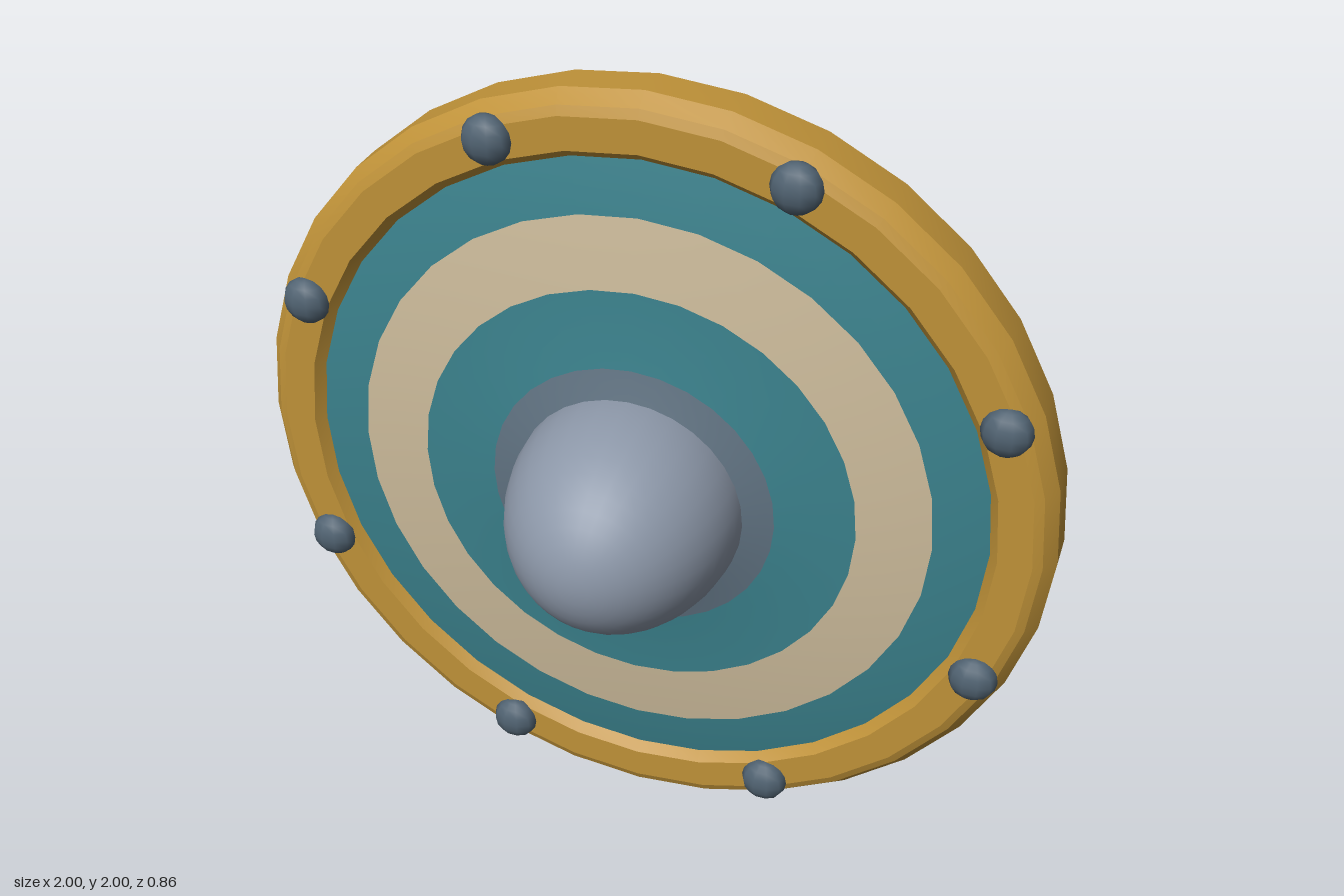
import * as THREE from 'three';
import { toCreasedNormals } from 'three/addons/utils/BufferGeometryUtils.js';

const mat = (name, color) => {
  const m = new THREE.MeshStandardMaterial({ color });
  m.name = name;
  return m;
};

export function createModel() {
  const teal = mat('teal paint', 0x3a808b);
  const cream = mat('cream paint', 0xcbba9a);
  const gold = mat('gold rim', 0xbe9138);
  const steel = mat('pale steel', 0x8c97a8);
  const collarGrey = mat('collar grey', 0x5f7180);
  const iron = mat('dark iron', 0x506271);
  const leather = mat('dark leather', 0x35252f);

  const shield = new THREE.Group();
  shield.name = 'shield';
  const add = (name, geometry, material) => {
    const mesh = new THREE.Mesh(geometry, material);
    mesh.name = name;
    shield.add(mesh);
    return mesh;
  };

  // Turned parts: [radius, z] pairs, running from the back round to the front
  const turn = (name, profile, material) => {
    const g = new THREE.LatheGeometry(profile.map(([r, z]) => new THREE.Vector2(r, z)), 32);
    g.rotateX(Math.PI / 2);
    return add(name, toCreasedNormals(g, 0.35), material);
  };

  // Rim with bevelled edges
  turn('rim', [[0.9, -0.195], [0.98, -0.173], [1, -0.14], [1, -0.045], [0.972, -0.01],
    [0.95, 0], [0.87, 0], [0.84, -0.035]], gold);

  // Flat back and gently raised, banded face
  turn('backBoard', [[0, -0.195], [0.9, -0.195]], teal);
  turn('outerBand', [[0.85, -0.025], [0.78, -0.01], [0.72, 0]], teal);
  turn('creamBand', [[0.72, 0], [0.63, 0.013], [0.545, 0.023]], cream);
  turn('innerBand', [[0.545, 0.023], [0.45, 0.031], [0.355, 0.045]], teal);
  turn('bossCollar', [[0.355, 0.045], [0.31, 0.056], [0.27, 0.068]], collarGrey);

  // Domed boss
  const dome = new THREE.SphereGeometry(0.283, 32, 12, 0, Math.PI * 2, 0, Math.PI / 2);
  dome.rotateX(Math.PI / 2).scale(1, 1, 0.365 / 0.283).translate(0, 0, 0.063);
  add('boss', dome, steel);

  // Rivets around the rim
  for (let i = 0; i < 8; i++) {
    const a = (i + 0.5) * Math.PI / 4;
    const rivet = add('rivet', new THREE.SphereGeometry(0.06, 10, 8), iron);
    rivet.scale.z = 0.7;
    rivet.position.set(0.922 * Math.cos(a), 0.922 * Math.sin(a), 0);
  }

  // Half-ring grip, its ends buried in the board
  const grip = new THREE.TorusGeometry(0.307, 0.052, 8, 16, Math.PI);
  grip.rotateZ(Math.PI / 2).rotateY(-Math.PI / 2).translate(0, 0, -0.07);
  add('grip', toCreasedNormals(grip, 0.5), leather);

  shield.position.y = 1;
  const model = new THREE.Group();
  model.add(shield);
  return model;
}
